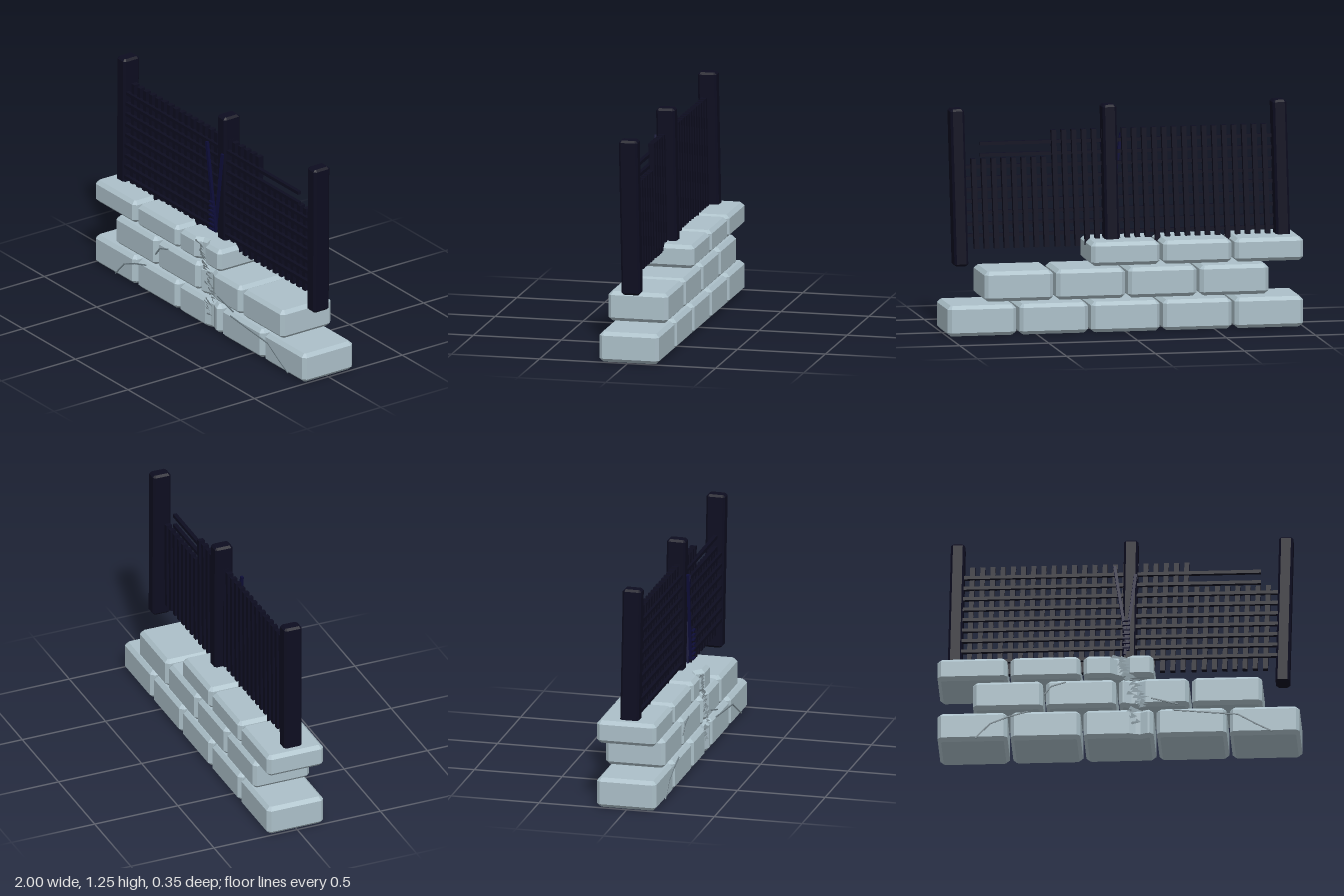
import * as THREE from 'three';

const mat = (name, color, side = THREE.FrontSide) => {
  const m = new THREE.MeshStandardMaterial({ color, side });
  m.name = name;
  return m;
};

// Box with every edge chamfered, base at y0; notch = [x, halfWidth, depth] cut into the front
function chamferedBlock(x0, x1, y0, y1, zBack, zFront, b, notch) {
  const s = new THREE.Shape();
  const f = -zFront, k = -zBack;
  s.moveTo(x0 + b, f);
  if (notch) {
    const [nx, w, d] = notch;
    s.lineTo(nx - w, f);
    s.lineTo(nx - w * 0.3, f + d * 0.8);
    s.lineTo(nx + w * 0.2, f + d);
    s.lineTo(nx + w, f);
  }
  s.lineTo(x1 - b, f);
  s.lineTo(x1, f + b);
  s.lineTo(x1, k - b);
  s.lineTo(x1 - b, k);
  s.lineTo(x0 + b, k);
  s.lineTo(x0, k - b);
  s.lineTo(x0, f + b);
  s.closePath();
  const g = new THREE.ExtrudeGeometry(s, {
    depth: y1 - y0 - 2 * b, bevelEnabled: true, bevelSegments: 1,
    bevelSize: b, bevelThickness: b, bevelOffset: -b,
  });
  g.rotateX(-Math.PI / 2);
  g.translate(0, y0 + b, 0);
  return g;
}

export function createModel() {
  const root = new THREE.Group();
  root.name = 'brokenFenceOnWall';
  const stone = mat('stone', 0xacc0c9);
  const crackStone = mat('crackStone', 0x75858d, THREE.DoubleSide);
  const shardStone = mat('shardStone', 0xa3b6bf, THREE.DoubleSide);
  const iron = mat('darkIron', 0x0d0d20);
  const blue = mat('darkBlueIron', 0x0d0d38);

  const group = (name) => {
    const g = new THREE.Group();
    g.name = name;
    root.add(g);
    return g;
  };
  const add = (parent, name, geo, material) => {
    const m = new THREE.Mesh(geo, material);
    m.name = name;
    parent.add(m);
    return m;
  };
  // Square bar between two points
  const bar = (parent, name, a, b, w, d, material) => {
    const p = new THREE.Vector3(...a), q = new THREE.Vector3(...b);
    const m = add(parent, name, new THREE.BoxGeometry(w, p.distanceTo(q), d), material);
    m.position.copy(p).add(q).multiplyScalar(0.5);
    m.quaternion.setFromUnitVectors(new THREE.Vector3(0, 1, 0), q.sub(p).normalize());
    return m;
  };

  // Stone courses: start x, count, bottom, top, cracked block index, its notch
  const wall = group('stoneWall');
  const courses = [
    [-1, 5, 0, 0.17, 2, [0.11, 0.05, 0.018]],
    [-0.804, 4, 0.188, 0.355, 2, [0.09, 0.06, 0.022]],
    [-1, 3, 0.37, 0.5, 2, [0.01, 0.055, 0.04]],
  ];
  courses.forEach(([start, count, y0, y1, cracked, notch]) => {
    for (let i = 0; i < count; i++) {
      const x = start + i * 0.4035;
      add(wall, 'stoneBlock',
        chamferedBlock(x, x + 0.386, y0, y1, -0.175, 0.165, 0.02, i === cracked ? notch : null), stone);
    }
  });

  // Splintered shards along the break
  let seed = 7;
  const rnd = () => (seed = (seed * 16807) % 2147483647) / 2147483647;
  const shards = group('stoneShards');
  const breakPath = [[0.02, 0.485], [0, 0.44], [0.04, 0.38], [0.07, 0.34], [0.09, 0.27],
    [0.13, 0.21], [0.09, 0.15], [0.12, 0.06]];
  for (let i = 0; i < 36; i++) {
    const t = (i / 36) * (breakPath.length - 1), n = Math.floor(t), u = t - n;
    const x = THREE.MathUtils.lerp(breakPath[n][0], breakPath[n + 1][0], u) + (rnd() - 0.5) * 0.06;
    const y = THREE.MathUtils.lerp(breakPath[n][1], breakPath[n + 1][1], u);
    const w = 0.03 + rnd() * 0.05;
    const g = new THREE.BufferGeometry();
    g.setAttribute('position', new THREE.Float32BufferAttribute([
      x - w / 2, y - 0.005, 0.158, x + w / 2, y + (rnd() - 0.5) * 0.03, 0.16 + rnd() * 0.013,
      x - w / 4, y + 0.014, 0.165,
    ], 3));
    g.computeVertexNormals();
    add(shards, 'shard', g, shardStone);
  }

  // Hairline cracks on the front face
  const cracks = group('cracks');
  [
    [[-0.79, 0.01], [-0.71, 0.095], [-0.61, 0.135], [-0.5, 0.165]],
    [[-0.41, 0.265], [-0.37, 0.315], [-0.29, 0.338]],
    [[0.18, 0.23], [0.33, 0.19]],
    [[0.3, 0.155], [0.5, 0.135], [0.66, 0.12], [0.76, 0.06], [0.85, 0.012]],
  ].forEach((pts) => {
    for (let i = 1; i < pts.length; i++)
      bar(cracks, 'crack', [...pts[i - 1], 0.166], [...pts[i], 0.166], 0.007, 0.006, crackStone);
  });

  // Leaning posts
  const posts = group('fencePosts');
  [-0.902, 0.057, 0.91].forEach((x) => {
    const p = add(posts, 'post',
      chamferedBlock(-0.039, 0.039, -0.438, 0.438, -0.053, 0.053, 0.012), iron);
    p.position.set(x, 0.809, 0.004);
    p.rotation.set(0.013, 0, x > 0 && x < 0.5 ? -0.018 : -0.025);
  });

  // Upright slats, shortened on the right
  const slats = group('fenceSlats');
  for (let i = 0; i < 30; i++) {
    const x = -0.811 + i * 0.0563, top = i < 22 ? 1.11 : 0.963;
    bar(slats, 'slat', [x - 0.023 * (top - 0.46) / 0.65, 0.46, 0.012], [x, top, 0.018], 0.027, 0.034, iron);
  }

  // Horizontal rails, the two upper ones broken short
  const rails = group('fenceRails');
  for (let i = 0; i < 9; i++) {
    const y = 1.042 - i * 0.0637;
    bar(rails, 'rail', [-0.88, y, 0.038], [i < 2 ? 0.78 : 0.89, y, 0.038], 0.019, 0.022, iron);
  }

  // Crossed rods and bindings on the middle post
  const binding = group('postBinding');
  bar(binding, 'rod', [-0.025, 1.07, 0.092], [0.05, 0.56, 0.088], 0.016, 0.016, blue);
  bar(binding, 'rod', [0.09, 1.03, 0.07], [0.03, 0.54, 0.076], 0.016, 0.012, blue);
  for (let i = 0; i < 7; i++) {
    const y = 0.57 + i * 0.027;
    bar(binding, 'tie', [0.02, y, 0.108], [0.06, y, 0.108], 0.008, 0.014, blue);
  }
  return root;
}
